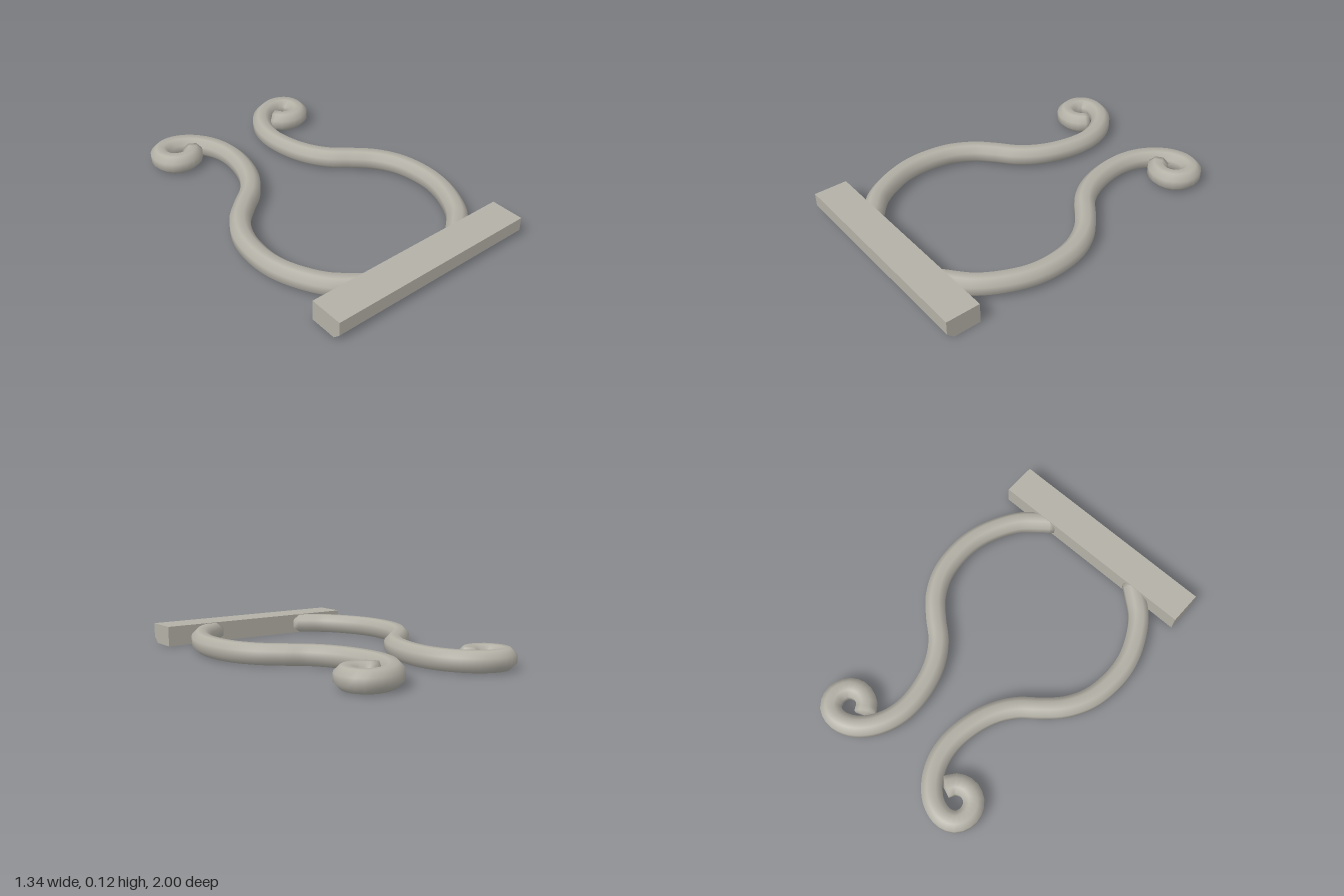
import * as THREE from 'three';

const SIDES = 8;
const RADIUS = 0.063; // corner radius of the eight-sided bar
const MID = 0.06; // height of the arm's centreline

// centreline of the left arm as [x, z], from the base to the inner end of the scroll
const ARM = [
  [0.31, 0.84], [0.37, 0.79], [0.47, 0.70], [0.55, 0.57], [0.6, 0.43], [0.612, 0.29],
  [0.585, 0.12], [0.51, -0.02], [0.41, -0.12], [0.31, -0.205], [0.235, -0.31],
  [0.185, -0.44], [0.163, -0.6], [0.183, -0.73], [0.24, -0.84], [0.325, -0.917],
  [0.42, -0.942], [0.49, -0.913], [0.518, -0.84], [0.488, -0.767], [0.418, -0.738],
  [0.35, -0.762], [0.318, -0.81],
];

// sweep an octagon with a level top along a flat path, closed with shallow tips
function sweep(points, steps) {
  const curve = new THREE.CatmullRomCurve3(points);
  const up = new THREE.Vector3(0, 1, 0);
  const pos = [], index = [];
  for (let i = 0; i <= steps; i++) {
    const p = curve.getPointAt(i / steps);
    const side = up.clone().cross(curve.getTangentAt(i / steps)).normalize();
    for (let j = 0; j < SIDES; j++) {
      const a = ((j + 0.5) / SIDES) * Math.PI * 2;
      const v = p.clone().addScaledVector(side, Math.cos(a) * RADIUS).addScaledVector(up, Math.sin(a) * RADIUS);
      pos.push(v.x, v.y, v.z);
    }
  }
  const tips = pos.length / 3;
  for (const t of [0, 1]) {
    const v = curve.getPointAt(t).addScaledVector(curve.getTangentAt(t), t ? 0.015 : -0.015);
    pos.push(v.x, v.y, v.z);
  }
  for (let j = 0; j < SIDES; j++) {
    const k = (j + 1) % SIDES;
    for (let i = 0; i < steps; i++) {
      const a = i * SIDES, b = a + SIDES;
      index.push(a + j, a + k, b + j, a + k, b + k, b + j);
    }
    index.push(tips, k, j, tips + 1, steps * SIDES + j, steps * SIDES + k);
  }
  const geo = new THREE.BufferGeometry();
  geo.setAttribute('position', new THREE.Float32BufferAttribute(pos, 3));
  geo.setIndex(index);
  geo.computeVertexNormals();
  return geo;
}

export function createModel() {
  const group = new THREE.Group();
  group.name = 'scrollBracket';
  const metal = new THREE.MeshStandardMaterial({ color: 0xb3b0a6 });
  metal.name = 'warm grey';

  // base bar with a chamfered lower front edge, profile in (z, y)
  const profile = new THREE.Shape([
    [0.8, 0], [0.96, 0], [1, 0.04], [1, 0.122], [0.8, 0.122],
  ].map(([z, y]) => new THREE.Vector2(z, y)));
  const barGeo = new THREE.ExtrudeGeometry(profile, { depth: 1.31, bevelEnabled: false });
  barGeo.rotateY(-Math.PI / 2).translate(0.655, 0, 0);
  const bar = new THREE.Mesh(barGeo, metal);
  bar.name = 'baseBar';
  group.add(bar);

  // mirrored S-shaped arms ending in scrolls
  for (const s of [1, -1]) {
    const arm = new THREE.Mesh(sweep(ARM.map(([x, z]) => new THREE.Vector3(s * x, MID, z)), 90), metal);
    arm.name = s > 0 ? 'leftScrollArm' : 'rightScrollArm';
    group.add(arm);
  }
  return group;
}
